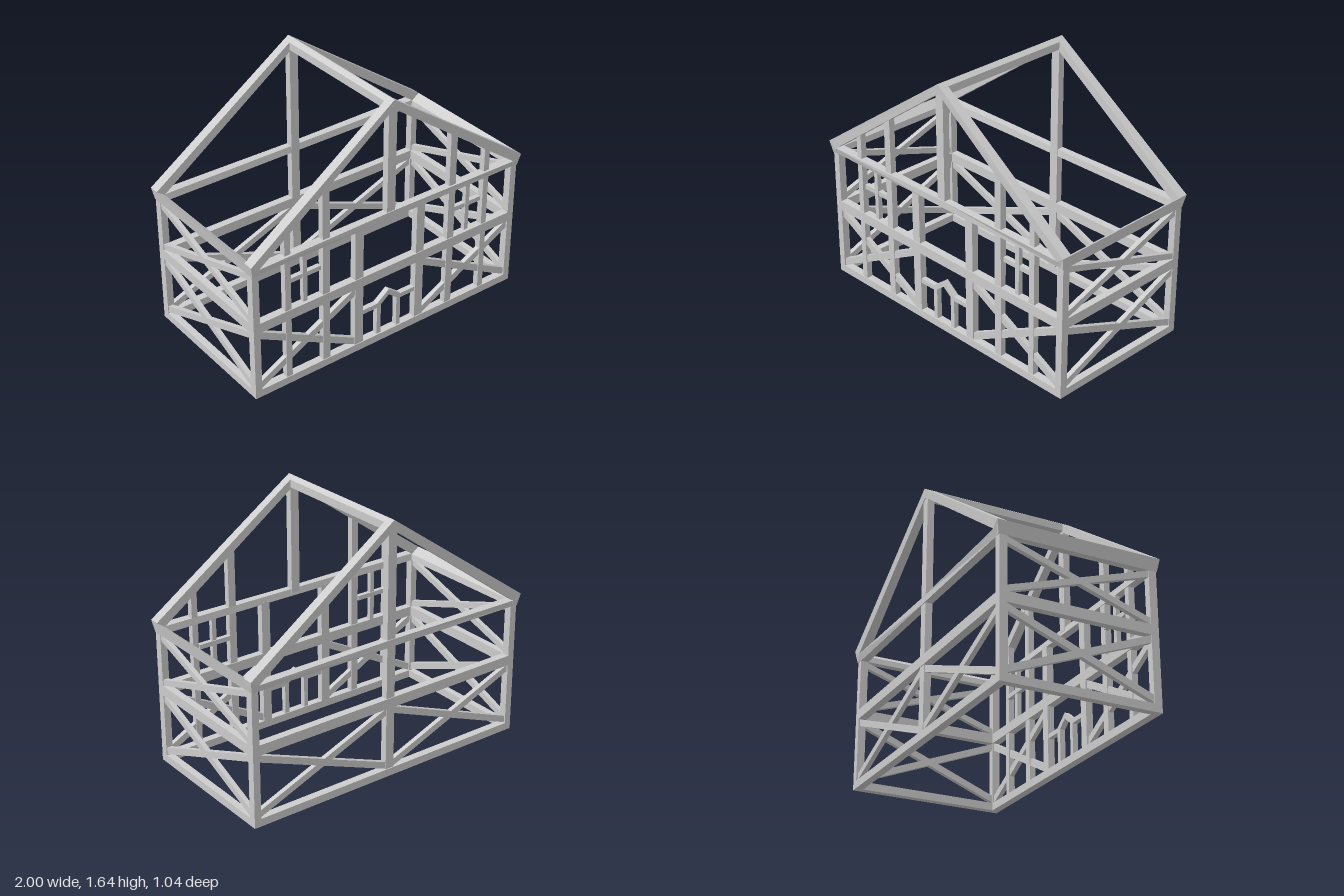
import * as THREE from 'three';

const material = new THREE.MeshStandardMaterial({ color: 0xcccccc, flatShading: true });

// Six-sided beam spanning two four-cornered end sections.
function loft(a, b) {
  const faces = [[a[3], a[2], a[1], a[0]], b];
  for (let i = 0; i < 4; i++) {
    const j = (i + 1) % 4;
    faces.push([a[i], a[j], b[j], b[i]]);
  }
  // Signed volume tells whether the corners run inside out.
  const v = (p) => new THREE.Vector3(...p);
  let volume = 0;
  for (const [p, q, r, s] of faces) {
    volume += v(p).dot(v(q).cross(v(r))) + v(p).dot(v(r).cross(v(s)));
  }
  const out = [];
  for (const face of faces) {
    const [p, q, r, s] = volume > 0 ? face : [...face].reverse();
    out.push(...p, ...q, ...r, ...p, ...r, ...s);
  }
  const geometry = new THREE.BufferGeometry();
  geometry.setAttribute('position', new THREE.Float32BufferAttribute(out, 3));
  geometry.computeVertexNormals();
  return geometry;
}

export function createModel() {
  const house = new THREE.Group();
  house.name = 'timberFrame';

  const add = (name, geometry) => {
    const mesh = new THREE.Mesh(geometry, material);
    mesh.name = name;
    house.add(mesh);
  };

  const box = (name, x0, x1, y0, y1, z0, z1) => {
    const g = new THREE.BoxGeometry(Math.abs(x1 - x0), y1 - y0, Math.abs(z1 - z0));
    g.translate((x0 + x1) / 2, (y0 + y1) / 2, (z0 + z1) / 2);
    add(name, g);
  };

  // Sloping timber with upright ends; (u, y) lies in the wall, d0..d1 is its depth.
  const slope = (name, u0, y0, u1, y1, t, d0, d1, side = false) => {
    const end = (u, y) =>
      [[y - t / 2, d0], [y + t / 2, d0], [y + t / 2, d1], [y - t / 2, d1]]
        .map(([h, d]) => (side ? [d, h, u] : [u, h, d]));
    add(name, loft(end(u0, y0), end(u1, y1)));
  };

  const cross = (name, u0, u1, low, high, t, d0, d1, side) => {
    slope(name, u0, low, u1, high, t, d0, d1, side);
    slope(name, u0, high, u1, low, t, d0, d1, side);
  };

  const IN = 0.45, OUT = 0.5, X = 0.985, XI = 0.94;

  // Sills and floor beams round the house
  for (const [name, y0, y1] of [['sillBeam', 0, 0.05], ['floorBeam', 0.46, 0.525]]) {
    for (const s of [1, -1]) {
      box(name, -X, X, y0, y1, s * IN, s * OUT);
      box(name, s * XI, s * X, y0, y1, -IN, IN);
    }
  }

  for (const sx of [1, -1]) {
    for (const sz of [1, -1]) {
      box('cornerPost', sx * XI, sx * X, 0.05, 0.88, sz * IN, sz * OUT);

      // Front and back eave beams, flaring out toward the corners
      const eave = (x, z) => [
        [x, 0.86, sz * 0.45], [x, 0.86, sz * 0.5],
        [x, 0.905, sz * z], [x, 0.905, sz * 0.455],
      ];
      add('eaveBeam', loft(eave(0, 0.5), eave(sx * 0.97, 0.515)));

      // Gable rafters
      add('rafter', loft(
        [[sx * 1, 0.94, sz * 0.52], [sx * 1, 0.94, sz * 0.455],
          [sx * 0.95, 0.9, sz * 0.455], [sx * 0.95, 0.9, sz * 0.515]],
        [[0, 1.645, sz * 0.505], [0, 1.645, sz * 0.45],
          [0, 1.585, sz * 0.45], [0, 1.585, sz * 0.5]]));
    }

    // Side eave beams with a tilted outer face
    const sideEave = (s) => [
      [sx * 0.94, 0.86, s * 0.5], [sx * X, 0.86, s * 0.505],
      [sx * 1, 0.94, s * 0.52], [sx * 0.945, 0.9, s * 0.515],
    ];
    add('sideEaveBeam', loft(sideEave(1), sideEave(-1)));

    // Crossed braces of the side walls
    cross('sideBrace', -IN, IN, 0.08, 0.435, 0.045, sx * 0.95, sx * 0.98, true);
    cross('sideBrace', -IN, IN, 0.545, 0.84, 0.04, sx * 0.95, sx * 0.98, true);

    // Crossed braces of the front and back walls
    cross('frontBrace', sx * 0.26, sx * XI, 0.075, 0.435, 0.05, 0.46, 0.49);
    cross('backBrace', sx * 0.03, sx * XI, 0.075, 0.435, 0.045, -0.49, -0.46);

    // Front wall posts, the outer two rising to the rafters
    box('innerPost', sx * 0.2, sx * 0.26, 0.05, 0.87, IN, 0.495);
    for (const [x0, x1, y0, y1] of [[0.445, 0.495, 1.28, 1.24], [0.72, 0.76, 1.08, 1.05]]) {
      const foot = [[x0, 0.455], [x1, 0.455], [x1, 0.495], [x0, 0.495]];
      add('gablePost', loft(
        foot.map(([x, z]) => [sx * x, 0.05, z]),
        foot.map(([x, z]) => [sx * x, x === x0 ? y0 : y1, z])));
    }

    // Window bars
    box('windowBar', sx * 0.495, sx * 0.72, 0.69, 0.72, 0.445, 0.475);
    box('windowPost', sx * 0.595, sx * 0.625, 0.525, 0.86, 0.45, 0.48);

    // Door frame with a pointed head
    box('doorPost', sx * 0.06, sx * 0.09, 0.05, 0.275, 0.455, 0.49);
    box('doorRail', sx * 0.09, sx * 0.2, 0.245, 0.275, 0.455, 0.49);
    slope('doorHead', sx * 0.09, 0.255, 0, 0.325, 0.04, 0.455, 0.49);
  }

  // Centre posts and ridge
  box('frontKingPost', -0.03, 0.03, 0.88, 1.6, IN, 0.495);
  box('backCentrePost', -0.03, 0.03, 0.05, 1.6, -0.495, -IN);
  const ridge = new THREE.Shape();
  [[-0.03, 1.575], [0.03, 1.575], [0.03, 1.624], [0, 1.645], [-0.03, 1.624]]
    .forEach(([x, y], i) => (i ? ridge.lineTo(x, y) : ridge.moveTo(x, y)));
  const ridgeGeometry = new THREE.ExtrudeGeometry(ridge, { depth: 1, bevelEnabled: false });
  ridgeGeometry.translate(0, 0, -0.5);
  add('ridgeBeam', ridgeGeometry);

  return house;
}
